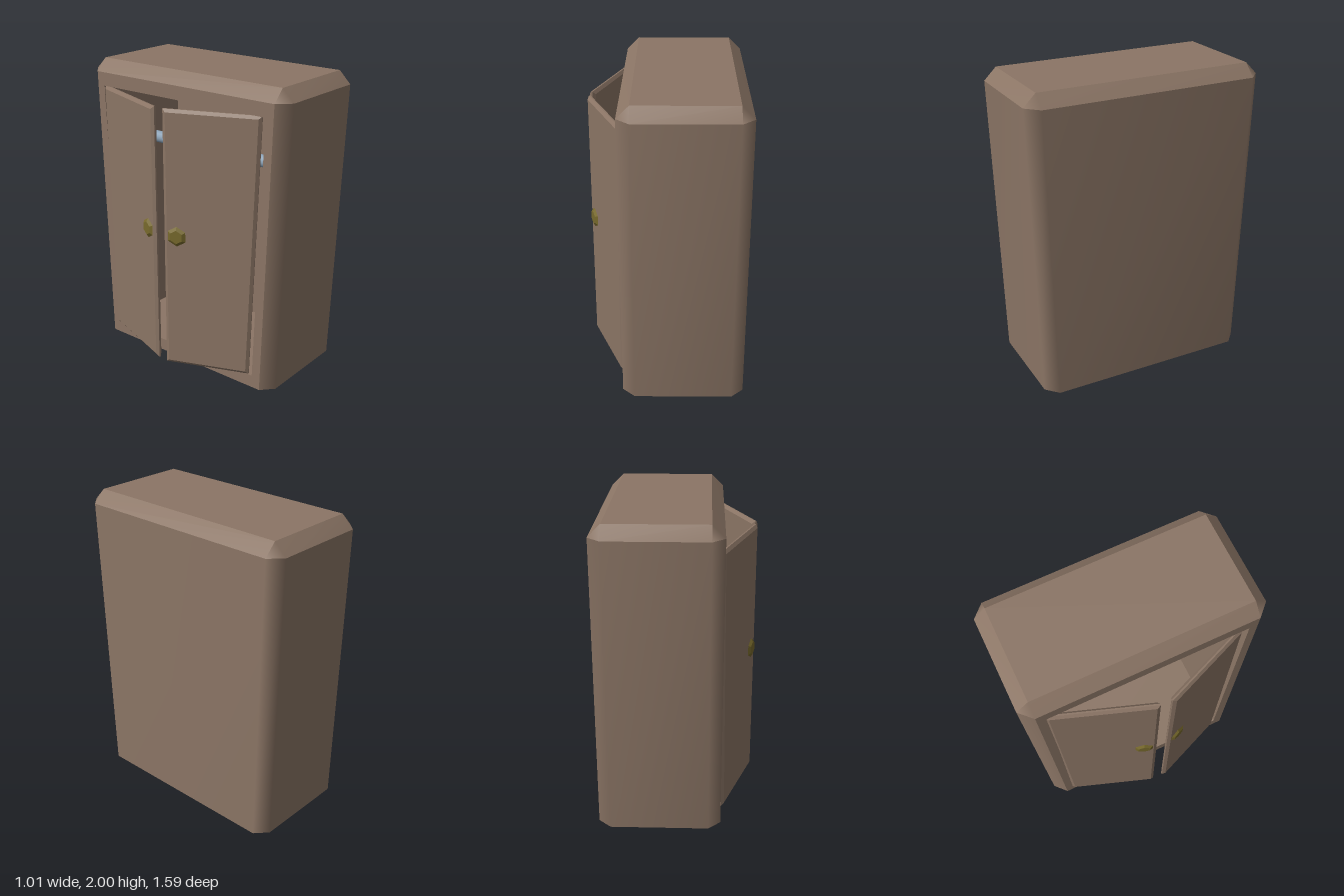
import * as THREE from 'three';

const wood = new THREE.MeshStandardMaterial({ color: 0x8b7565, side: THREE.DoubleSide });
const brass = new THREE.MeshStandardMaterial({ color: 0x77692c, flatShading: true });
const steel = new THREE.MeshStandardMaterial({ color: 0x8ca3b8 });

const FRONT = -0.29, BACK = 0.5, CH = 0.08; // doors are on the -x face
const shapeOf = pts => new THREE.Shape(pts.map(p => new THREE.Vector2(...p)));

function add(parent, name, geometry, material) {
  const mesh = new THREE.Mesh(geometry, material);
  mesh.name = name;
  parent.add(mesh);
  return mesh;
}

// Joins cross-section rings of equal length into a skin
function loft(rings, closed) {
  const n = rings[0].length, index = [];
  for (let r = 0; r < rings.length - 1; r++)
    for (let i = 0; i < (closed ? n : n - 1); i++) {
      const a = r * n + i, b = r * n + (i + 1) % n;
      index.push(a, a + n, b, b, a + n, b + n);
    }
  const g = new THREE.BufferGeometry();
  g.setAttribute('position', new THREE.Float32BufferAttribute(rings.flat(2), 3));
  g.setIndex(index);
  g.computeVertexNormals();
  return g;
}

// Rectangle with cut corners at height y; w is half depth, c where the cut starts
const ring = (y, w, c) => {
  const a = FRONT + CH, b = BACK - CH;
  return [[FRONT, y, -c], [a, y, -w], [b, y, -w], [BACK, y, -c],
    [BACK, y, c], [b, y, w], [a, y, w], [FRONT, y, c]];
};

// Lays a (z, y) shape on a plane of constant x, facing -x
const facing = (shape, x) =>
  new THREE.ShapeGeometry(shape).rotateY(-Math.PI / 2).translate(x, 0, 0);

// One bevelled door, hinged on the -z side and swung open by angle
function makeDoor(name, length, angle, hingeX, hingeZ) {
  const door = new THREE.Group();
  door.name = name;
  const panel = shapeOf([[0.055, 0.09], [length, 0.09], [length, 1.83], [0, 1.83]]);
  add(door, 'doorPanel', new THREE.ExtrudeGeometry(panel, {
    depth: 0.01, bevelThickness: 0.015, bevelSize: 0.02, bevelOffset: -0.02, bevelSegments: 1,
  }).translate(0, 0, 0.015), wood);
  const knob = new THREE.CylinderGeometry(0.045, 0.07, 0.016, 6).rotateX(Math.PI / 2);
  add(door, 'doorKnob', knob, brass).position.set(length - 0.085, 1.01, 0.046);
  door.position.set(hingeX, 0, hingeZ);
  door.rotation.y = -(Math.PI / 2 + angle);
  return door;
}

export function createModel() {
  const model = new THREE.Group();
  model.name = 'wardrobe';

  // Tapered carcass, open underneath, with a chamfered top
  const shoulder = ring(1.92, 0.795, 0.715);
  add(model, 'carcassWalls', loft([ring(0, 0.73, 0.655), shoulder], false), wood);
  const crown = [0, 0, 1, 1, 2, 2, 3, 3].map(k =>
    [k === 0 || k === 3 ? FRONT + CH : BACK - CH, 2, k < 2 ? -0.715 : 0.715]);
  add(model, 'topChamfer', loft([shoulder, crown], true), wood);
  add(model, 'topPanel', new THREE.PlaneGeometry(0.63, 1.43)
    .rotateX(-Math.PI / 2).translate(0.105, 2, 0), wood);

  // Door frame with its opening
  const opening = [[-0.595, 0.085], [0.595, 0.085], [0.655, 1.83], [-0.655, 1.83]];
  const frame = shapeOf([[-0.655, 0], [0.655, 0], [0.715, 1.92], [-0.715, 1.92]]);
  frame.holes.push(shapeOf(opening));
  add(model, 'doorFrame', facing(frame, FRONT), wood);

  // Cavity behind the opening
  const section = x => opening.map(([z, y]) => [x, y, z]);
  const lining = loft([section(0.44), section(FRONT)], true).toNonIndexed();
  lining.computeVertexNormals();
  add(model, 'cavityLining', lining, wood);
  add(model, 'cavityBack', facing(shapeOf(opening), 0.44), wood);

  // Hanging rail
  add(model, 'hangingRail', new THREE.CylinderGeometry(0.04, 0.04, 1.27, 16)
    .rotateX(Math.PI / 2), steel).position.set(0.01, 1.45, 0);

  // Doors standing ajar, the second one mirrored
  model.add(makeDoor('rightDoor', 0.667, 0.337, -0.25, -0.65));
  const mirrored = new THREE.Group();
  mirrored.name = 'mirroredDoor';
  mirrored.scale.z = -1;
  mirrored.add(makeDoor('leftDoor', 0.62, 0.384, -0.245, -0.61));
  model.add(mirrored);

  return model;
}
